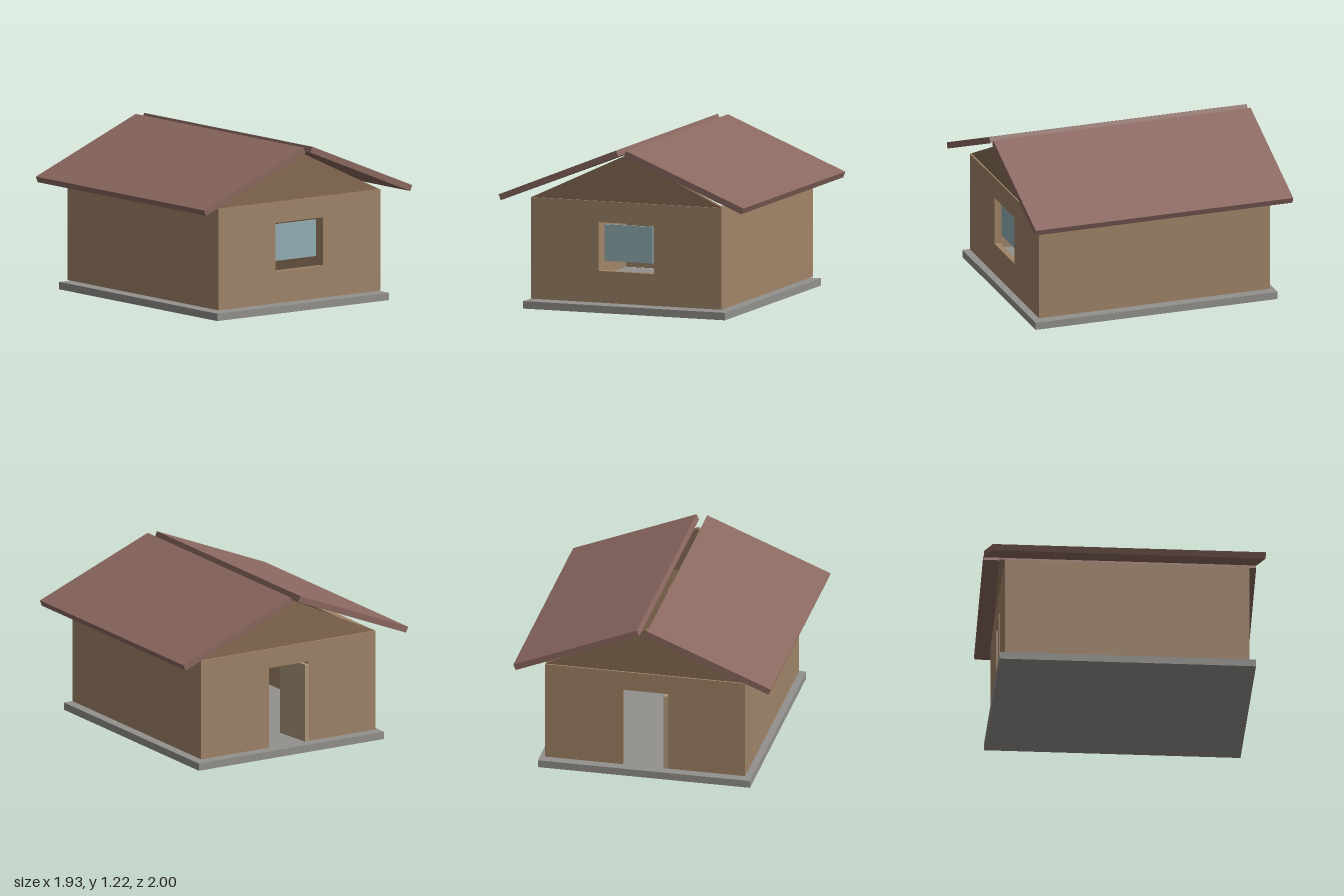
import * as THREE from 'three';

const mat = (color) => new THREE.MeshStandardMaterial({ color, flatShading: true });
const WALL = mat(0xa08468), GABLE = mat(0x866b53), ROOF = mat(0x8a685f);
const STONE = mat(0x93918c), GLASS = mat(0x93b0b4), DOOR = mat(0xae977a);

const W = 0.75, D = 0.897, T = 0.046; // half width, half depth, wall thickness
const Y0 = 0.07, Y1 = 0.82, RIDGE = 1.172;

const points = (list) => list.map(([x, y]) => new THREE.Vector2(x, y));

export function createModel() {
  const group = new THREE.Group();

  const add = (name, geometry, material, x = 0, y = 0, z = 0) => {
    const mesh = new THREE.Mesh(geometry, material);
    mesh.name = name;
    mesh.position.set(x, y, z);
    group.add(mesh);
    return mesh;
  };
  const box = (name, w, h, d, material, x, y, z) =>
    add(name, new THREE.BoxGeometry(w, h, d), material, x, y, z);
  const slab = (name, shape, depth, material, z) =>
    add(name, new THREE.ExtrudeGeometry(shape, { depth, bevelEnabled: false }), material, 0, 0, z);

  // Foundation plate, a little below the walls
  box('foundation', 1.59, 0.055, 1.88, STONE, 0, 0.0275, 0);

  // Front wall with a window hole
  const front = new THREE.Shape(points([[-W, Y0], [W, Y0], [W, Y1], [-W, Y1]]));
  front.holes.push(new THREE.Path(points([[-0.22, 0.305], [-0.22, 0.665], [0.22, 0.665], [0.22, 0.305]])));
  slab('frontWall', front, T, WALL, D - T);

  // Back wall with a doorway down to its lower edge
  const back = new THREE.Shape(points([
    [-W, Y0], [-0.17, Y0], [-0.17, 0.675], [0.167, 0.675], [0.167, Y0], [W, Y0], [W, Y1], [-W, Y1],
  ]));
  slab('backWall', back, T, WALL, -D);

  // Gables, set slightly behind the wall faces
  const gable = new THREE.Shape(points([[-W, Y1], [W, Y1], [0, RIDGE]]));
  slab('frontGable', gable, T - 0.012, GABLE, D - T);
  slab('backGable', gable, T - 0.012, GABLE, -D + 0.012);

  // Side walls and tilted roof panels, mirrored
  for (const [side, s] of [['left', 1], ['right', -1]]) {
    box(side + 'Wall', T, Y1 - Y0, 2 * (D - T), WALL, s * (W - T / 2), (Y0 + Y1) / 2, 0);
    const panel = box(side + 'RoofPanel', 0.998, 0.046, 2, ROOF, s * 0.4935, 1.009, 0);
    panel.rotation.z = -s * 0.384;
  }

  // Window pane at the inner side of the opening
  box('windowPane', 0.378, 0.27, 0.014, GLASS, 0, 0.51, 0.845);

  // Door leaf, swung inwards almost at a right angle
  const leaf = box('doorLeaf', 0.03, 0.585, 0.3, DOOR, -0.138, 0.3625, -0.7525);
  leaf.rotation.y = 0.115;

  return group;
}
